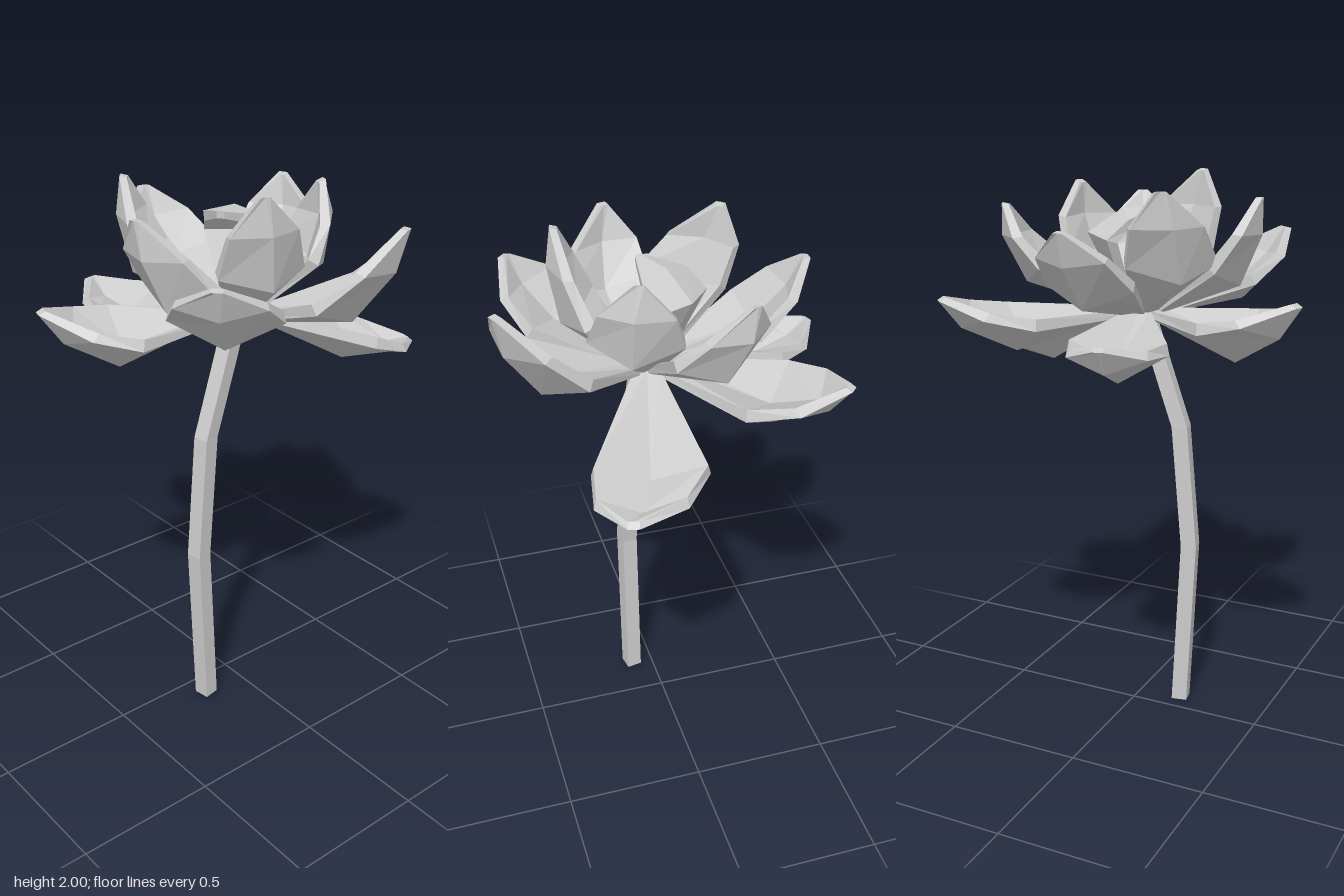
import * as THREE from 'three';

const material = new THREE.MeshStandardMaterial({ color: 0xcccccc, flatShading: true });
const v = (a) => new THREE.Vector3(...a);

// Skin a closed solid through rings of points, with a fan cap at each end.
function loft(rings, name) {
  const pos = [];
  const tri = (...pts) => pts.forEach((p) => pos.push(p.x, p.y, p.z));
  const n = rings[0].length;
  for (let i = 0; i < rings.length - 1; i++) {
    for (let j = 0; j < n; j++) {
      const k = (j + 1) % n;
      const a = rings[i][j], b = rings[i][k], c = rings[i + 1][k], d = rings[i + 1][j];
      tri(a, b, c);
      tri(a, c, d);
    }
  }
  const first = rings[0], last = rings[rings.length - 1];
  for (let j = 1; j < n - 1; j++) {
    tri(first[0], first[j + 1], first[j]);
    tri(last[0], last[j], last[j + 1]);
  }
  const geometry = new THREE.BufferGeometry();
  geometry.setAttribute('position', new THREE.Float32BufferAttribute(pos, 3));
  geometry.computeVertexNormals();
  const mesh = new THREE.Mesh(geometry, material);
  mesh.name = name;
  return mesh;
}

// Stations along a petal: position, width factor, keel thickness, rim thickness.
const stations = [
  [0, 0.24, 0.03, 0.025],
  [0.5, 1, 0.07, 0.04],
  [0.83, 0.78, 0.05, 0.035],
  [1, 0.1, 0.025, 0.025],
];
const heart = v([-0.01, 1.505, 0.05]);

// Thick, cupped petal with a crease along its middle.
function petal(name, bellyAt, tipAt, halfWidth, cup) {
  const belly = v(bellyAt), tip = v(tipAt);
  const out = belly.clone().sub(heart).setY(0).normalize();
  const base = heart.clone().addScaledVector(out, 0.05);
  const control = belly.clone().multiplyScalar(2).sub(base.clone().add(tip).multiplyScalar(0.5));
  const spine = new THREE.QuadraticBezierCurve3(base, control, tip);
  const side = out.clone().cross(new THREE.Vector3(0, 1, 0));
  const rings = stations.map(([t, w, keel, rim]) => {
    const p = spine.getPoint(t);
    const normal = side.clone().cross(spine.getTangent(t)).normalize();
    const at = (s, h) => p.clone().addScaledVector(side, s * w * halfWidth).addScaledVector(normal, h);
    const lift = cup * w * w;
    return [
      at(-0.95, lift + rim), at(0, keel), at(0.95, lift + rim),
      at(1, lift), at(0, 0), at(-1, lift),
    ];
  });
  return loft(rings, name);
}

export function createModel() {
  const model = new THREE.Group();
  model.name = 'lotusFlower';

  // Bent four-sided stem
  const path = [[-0.163, 0, 0.083], [-0.193, 0.64, 0.085], [-0.153, 1.1, 0.08], [-0.01, 1.52, 0.07]];
  const stemRings = path.map(([x, y, z]) => Array.from({ length: 4 }, (_, i) => {
    const a = 0.61 - (i * Math.PI) / 2;
    return new THREE.Vector3(x + 0.041 * Math.cos(a), y, z + 0.041 * Math.sin(a));
  }));
  model.add(loft(stemRings, 'stem'));

  // Petals: belly point, tip point, half width, cup depth
  const groups = {
    outerPetal: [
      [[-0.41, 1.39, -0.06], [-0.66, 1.61, -0.15], 0.19, 0.12],
      [[-0.28, 1.54, 0.34], [-0.41, 1.79, 0.46], 0.19, 0.09],
      [[0.17, 1.56, 0.45], [0.25, 1.89, 0.6], 0.19, 0.09],
      [[0.42, 1.28, 0.16], [0.65, 1.33, 0.28], 0.19, 0.1],
      [[0.31, 1.41, -0.29], [0.49, 1.6, -0.49], 0.19, 0.1],
      [[-0.13, 1.36, -0.39], [-0.17, 1.51, -0.61], 0.17, 0.1],
    ],
    innerPetal: [
      [[0.02, 1.58, -0.35], [0.02, 1.85, -0.51], 0.17, 0.08],
      [[0.37, 1.62, -0.11], [0.42, 1.9, -0.18], 0.16, 0.09],
      [[0.29, 1.67, 0.18], [0.3, 1.96, 0.16], 0.16, 0.09],
      [[-0.07, 1.68, 0.33], [-0.12, 2, 0.34], 0.16, 0.09],
      [[-0.35, 1.62, 0.13], [-0.44, 1.93, 0.09], 0.16, 0.09],
      [[-0.26, 1.66, -0.18], [-0.23, 1.97, -0.28], 0.17, 0.09],
    ],
    // Young petal curled over the middle
    heartPetal: [[[0.15, 1.8, -0.06], [-0.07, 1.89, 0.06], 0.14, 0.05]],
  };
  for (const [name, list] of Object.entries(groups)) {
    list.forEach((args, i) => model.add(petal(`${name}${i + 1}`, ...args)));
  }
  return model;
}
